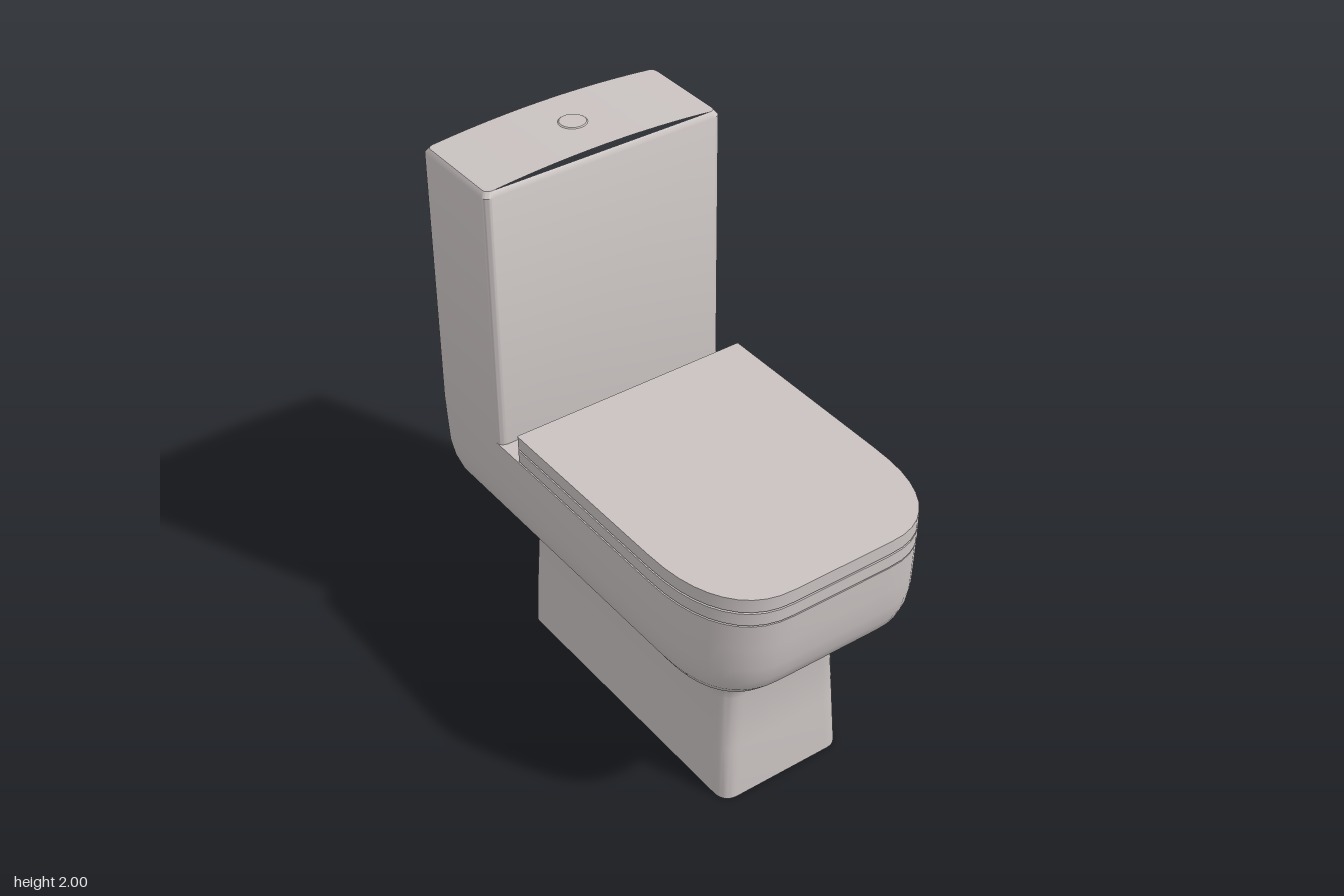
import * as THREE from 'three';
import { toCreasedNormals } from 'three/addons/utils/BufferGeometryUtils.js';

const ARC = 10;    // segments per rounded corner
const ACROSS = 12; // cap segments across the width

// Half outline (z > 0) from back to front: small back corner, long soft front corner.
function halfOutline({ back, front, half, rb, fx, fz, n = 2.4 }) {
  const pts = [];
  for (let i = 0; i <= ARC; i++) {
    const a = (i / ARC) * Math.PI / 2;
    pts.push([back + rb * (1 - Math.cos(a)), half - rb * (1 - Math.sin(a))]);
  }
  for (let i = 0; i <= ARC; i++) {
    const a = (i / ARC) * Math.PI / 2;
    const s = Math.pow(Math.max(0, Math.sin(a)), 2 / n);
    const c = Math.pow(Math.max(0, Math.cos(a)), 2 / n);
    pts.push([front - fx * (1 - s), half - fz * (1 - c)]);
  }
  return pts;
}

// Skins a stack of sections and closes both ends; rise(z) bends the top edge and cap.
function loft(sections, rise = () => 0) {
  const pos = [], idx = [];
  const halves = sections.map(halfOutline);
  const H = halves[0].length, N = H * 2, last = sections.length - 1;
  halves.forEach((half, s) => {
    const ring = half.concat(half.map(([x, z]) => [x, -z]).reverse());
    for (const [x, z] of ring) {
      pos.push(x, sections[s].y + (sections[s].bend ? rise(z) : 0), z);
    }
  });
  for (let s = 0; s < last; s++) {
    for (let j = 0; j < N; j++) {
      const a = s * N + j, b = s * N + (j + 1) % N;
      idx.push(a, b, b + N, a, b + N, a + N);
    }
  }
  for (const s of [0, last]) {
    const start = pos.length / 3, W = ACROSS + 1;
    for (const [x, hz] of halves[s]) {
      for (let k = 0; k < W; k++) {
        const z = hz * (1 - 2 * k / ACROSS);
        pos.push(x, sections[s].y + (sections[s].bend ? rise(z) : 0), z);
      }
    }
    for (let i = 0; i < H - 1; i++) {
      for (let k = 0; k < ACROSS; k++) {
        const a = start + i * W + k, b = a + W;
        if (s === last) idx.push(a, b, b + 1, a, b + 1, a + 1);
        else idx.push(a, b + 1, b, a, a + 1, b + 1);
      }
    }
  }
  const geo = new THREE.BufferGeometry();
  geo.setAttribute('position', new THREE.Float32BufferAttribute(pos, 3));
  geo.setIndex(idx);
  return toCreasedNormals(geo, 0.7);
}

export function createModel() {
  const group = new THREE.Group();
  const ceramic = new THREE.MeshStandardMaterial({ color: 0xc9c2c1 });
  ceramic.name = 'warm grey ceramic';

  function add(name, geometry) {
    const mesh = new THREE.Mesh(geometry, ceramic);
    mesh.name = name;
    group.add(mesh);
    return mesh;
  }

  // Pedestal flaring into the bowl: y, back, front, half width, back radius, front corner
  const bowlRows = [
    [0.00, -0.62, 0.55, 0.25, 0.03, 0.06, 0.06],
    [0.01, -0.62, 0.55, 0.25, 0.03, 0.06, 0.06],
    [0.22, -0.61, 0.54, 0.245, 0.03, 0.07, 0.07],
    [0.44, -0.60, 0.533, 0.24, 0.04, 0.09, 0.08],
    [0.49, -0.607, 0.545, 0.25, 0.05, 0.11, 0.09],
    [0.54, -0.63, 0.573, 0.275, 0.06, 0.14, 0.11],
    [0.58, -0.66, 0.61, 0.31, 0.07, 0.18, 0.13],
    [0.62, -0.71, 0.67, 0.36, 0.07, 0.23, 0.17],
    [0.66, -0.76, 0.72, 0.402, 0.06, 0.28, 0.20],
    [0.70, -0.793, 0.758, 0.427, 0.05, 0.32, 0.23],
    [0.75, -0.808, 0.782, 0.442, 0.04, 0.36, 0.25],
    [0.81, -0.813, 0.796, 0.45, 0.03, 0.38, 0.26],
    [0.90, -0.814, 0.804, 0.453, 0.025, 0.39, 0.27],
    [1.00, -0.815, 0.808, 0.455, 0.02, 0.40, 0.27],
  ];
  add('bowlAndPedestal', loft(bowlRows.map(([y, back, front, half, rb, fx, fz]) =>
    ({ y, back, front, half, rb, fx, fz }))));

  // Cistern with a gently crowned top
  const tank = (y, inset, bend) => ({
    y, bend, back: -0.815 + inset, front: -0.437 - inset, half: 0.455 - inset,
    rb: 0.02, fx: 0.025, fz: 0.03, n: 2,
  });
  const crown = (z) => 0.025 * (1 - (z / 0.455) ** 2);
  add('cistern', loft([tank(0.99, 0, false), tank(1.955, 0, true), tank(1.972, 0.012, true)], crown));

  // Flush button, almost level with the cistern top
  const button = add('flushButton', new THREE.CylinderGeometry(0.045, 0.055, 0.008, 24));
  button.position.set(-0.63, 1.996, 0);

  // Seat and lid slabs, separated by thin recessed gaps
  const slab = (y0, y1, inset) => loft([y0, y1].map((y) => ({
    y, back: -0.33 + inset, front: 0.81 - inset, half: 0.455 - inset,
    rb: 0.006, fx: 0.40, fz: 0.27,
  })));
  add('seatGap', slab(0.995, 1.07, 0.012));
  add('seat', slab(1.007, 1.053, 0));
  add('lid', slab(1.06, 1.11, 0));

  return group;
}
